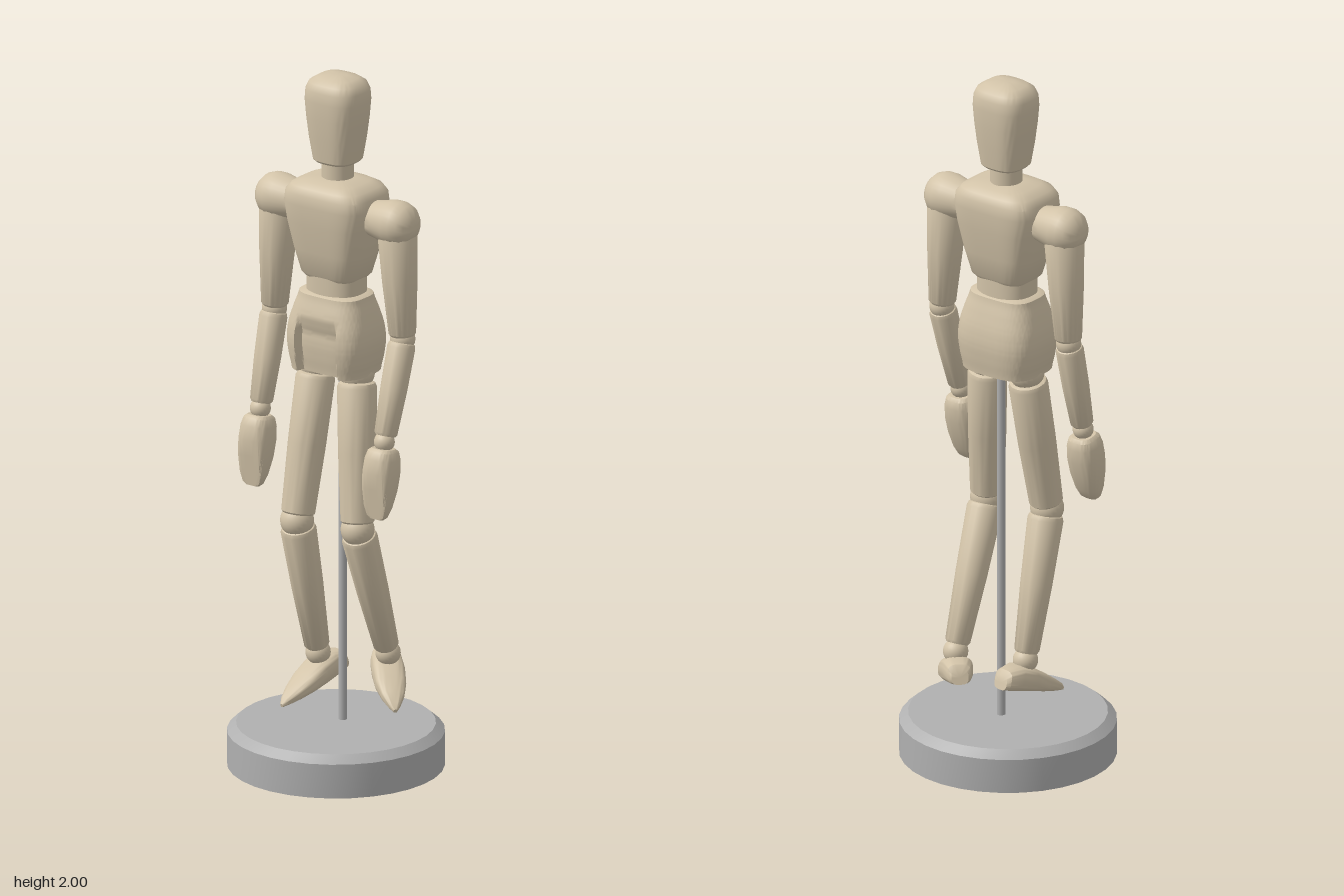
import * as THREE from 'three';
import { toCreasedNormals } from 'three/addons/utils/BufferGeometryUtils.js';

const wood = new THREE.MeshStandardMaterial({ color: 0xd2c3a8 });
wood.name = 'pale wood';
const metal = new THREE.MeshStandardMaterial({ color: 0xb0b0b0 });
metal.name = 'grey metal';

const V = (x, y, z) => new THREE.Vector3(x, y, z);
const clamp01 = (v) => THREE.MathUtils.clamp(v, 0, 1);

// Closed body through superellipse rings [y, halfWidth, halfDepth, zOffset]; rule may move points
function loft(rings, power = 2, sides = 32, rule = null) {
  const pos = [], idx = [];
  const add = (x, y, z) => {
    const p = V(x, y, z);
    if (rule) rule(p);
    pos.push(p.x, p.y, p.z);
  };
  const bend = (c) => Math.sign(c) * Math.pow(Math.abs(c), 2 / power);
  for (const [y, a, b, dz = 0] of rings) {
    for (let j = 0; j < sides; j++) {
      const t = (j / sides) * Math.PI * 2;
      add(a * bend(Math.cos(t)), y, dz + b * bend(Math.sin(t)));
    }
  }
  const first = rings[0], last = rings[rings.length - 1];
  const bottom = rings.length * sides, top = bottom + 1;
  add(0, first[0], first[3] || 0);
  add(0, last[0], last[3] || 0);
  for (let j = 0; j < sides; j++) {
    const k = (j + 1) % sides;
    for (let i = 0; i < rings.length - 1; i++) {
      const p = i * sides, q = p + sides;
      idx.push(p + j, q + j, p + k, p + k, q + j, q + k);
    }
    const e = (rings.length - 1) * sides;
    idx.push(bottom, j, k, top, e + k, e + j);
  }
  const g = new THREE.BufferGeometry();
  g.setAttribute('position', new THREE.Float32BufferAttribute(pos, 3));
  g.setIndex(idx);
  return toCreasedNormals(g, 0.6);
}

function part(parent, name, geometry, material = wood) {
  const m = new THREE.Mesh(geometry, material);
  m.name = name;
  parent.add(m);
  return m;
}

// Stand a geometry built along +y at the lower point, aimed at the upper one
function aim(mesh, low, high) {
  mesh.position.copy(low);
  mesh.quaternion.setFromUnitVectors(V(0, 1, 0), high.clone().sub(low).normalize());
}

// Tapered turned limb with softened ends
function limb(parent, name, low, high, rLow, rHigh) {
  const L = low.distanceTo(high);
  const mid = (rLow + rHigh) / 2 + 0.002;
  aim(part(parent, name, loft([
    [0, rLow * 0.86, rLow * 0.86], [0.007, rLow, rLow], [L / 2, mid, mid],
    [L - 0.015, rHigh, rHigh], [L - 0.004, rHigh * 0.92, rHigh * 0.92], [L, rHigh * 0.78, rHigh * 0.78],
  ])), low, high);
}

function ball(parent, name, at, r) {
  part(parent, name, new THREE.SphereGeometry(r, 24, 16)).position.copy(at);
}

function addArm(root, side, wristZ) {
  const arm = new THREE.Group();
  arm.name = side > 0 ? 'leftArm' : 'rightArm';
  root.add(arm);
  const shoulder = V(side * 0.2, 1.608, -0.008);
  const elbow = V(side * 0.22, 1.275, -0.012);
  const wrist = V(side * 0.222, 1.0, wristZ);
  const tip = V(side * 0.222, 0.785, wristZ + 0.035);
  // shoulder knob lying sideways, rounded at the outer end
  const knob = part(arm, 'shoulder', loft([
    [-0.085, 0.048, 0.048], [-0.05, 0.055, 0.055], [-0.01, 0.064, 0.064], [0.015, 0.064, 0.064],
    [0.038, 0.056, 0.056], [0.054, 0.041, 0.041], [0.063, 0.022, 0.022], [0.066, 0.005, 0.005],
  ]));
  knob.position.copy(shoulder);
  knob.rotation.z = -side * Math.PI / 2;
  limb(arm, 'upperArm', V(side * 0.219, 1.285, -0.012), V(side * 0.202, 1.6, -0.01), 0.038, 0.056);
  ball(arm, 'elbow', elbow, 0.035);
  limb(arm, 'forearm', wrist.clone().lerp(elbow, 0.06), elbow.clone().lerp(wrist, 0.03), 0.032, 0.039);
  ball(arm, 'wrist', wrist, 0.029);
  // hand with a flat sloping palm
  const palm = (p) => { p.z = Math.min(p.z, 0.008 + 0.3 * p.y); };
  aim(part(arm, 'hand', loft([
    [0, 0.02, 0.01], [0.008, 0.03, 0.018], [0.035, 0.039, 0.03], [0.085, 0.047, 0.041],
    [0.13, 0.048, 0.047], [0.17, 0.045, 0.046], [0.192, 0.039, 0.04], [0.2, 0.03, 0.031],
  ], 2.8, 40, palm)), tip, wrist);
}

function addLeg(root, side, knee, ankle, heading) {
  const leg = new THREE.Group();
  leg.name = side > 0 ? 'leftLeg' : 'rightLeg';
  root.add(leg);
  const hip = V(side * 0.068, 1.15, -0.005);
  ball(leg, 'hip', hip, 0.05);
  limb(leg, 'thigh', knee.clone().lerp(hip, 0.04), hip.clone().lerp(knee, 0.06), 0.047, 0.055);
  ball(leg, 'knee', knee, 0.047);
  limb(leg, 'shin', ankle.clone().lerp(knee, 0.05), knee.clone().lerp(ankle, 0.04), 0.035, 0.05);
  ball(leg, 'ankle', ankle, 0.035);
  // wedge foot, built heel to toe with a flat sole
  const sole = 0.085;
  const rings = [
    [-0.078, 0.024, 0.02], [-0.07, 0.033, 0.028], [-0.03, 0.043, 0.036], [0.02, 0.046, 0.034],
    [0.07, 0.043, 0.026], [0.115, 0.032, 0.018], [0.15, 0.017, 0.011], [0.168, 0.005, 0.005],
  ].map(([y, a, b]) => [y, a, b, sole - b]);
  const geo = loft(rings, 3, 32);
  geo.rotateX(Math.PI / 2);
  const foot = part(leg, 'foot', geo);
  foot.position.copy(ankle);
  foot.rotation.set(0.28, heading, 0, 'YXZ');
}

export function createModel() {
  const root = new THREE.Group();
  root.name = 'jointedFigure';

  // stand
  part(root, 'base', loft([[0, 0.3, 0.3], [0.098, 0.3, 0.3], [0.12, 0.275, 0.275]], 2, 32), metal);
  part(root, 'rod', new THREE.CylinderGeometry(0.012, 0.012, 1.08, 16), metal).position.set(0, 0.64, -0.031);

  // head and neck
  part(root, 'head', loft([
    [1.75, 0.056, 0.054], [1.757, 0.063, 0.061], [1.82, 0.074, 0.069], [1.88, 0.082, 0.074],
    [1.93, 0.087, 0.076], [1.96, 0.085, 0.074], [1.98, 0.076, 0.066], [1.993, 0.056, 0.049], [2, 0.024, 0.02],
  ], 2.9, 48)).position.z = -0.009;
  part(root, 'neck', new THREE.CylinderGeometry(0.045, 0.045, 0.08, 32)).position.set(0, 1.73, -0.008);

  // chest and waist
  part(root, 'chest', loft([
    [1.42, 0.08, 0.064], [1.43, 0.09, 0.071], [1.5, 0.109, 0.086], [1.58, 0.127, 0.099],
    [1.635, 0.135, 0.104], [1.665, 0.131, 0.103], [1.685, 0.115, 0.093], [1.698, 0.086, 0.072], [1.705, 0.045, 0.04],
  ], 4, 56)).position.z = -0.004;
  part(root, 'waist', loft([[1.35, 0.084, 0.068], [1.44, 0.084, 0.068]], 2.5, 40)).position.z = -0.003;

  // pelvis with a shallow sloped recess at the front
  const widths = new THREE.SplineCurve([
    [0.116, 0.096], [0.125, 0.102], [0.13, 0.105], [0.126, 0.1], [0.114, 0.088], [0.1, 0.075],
  ].map(([a, b]) => new THREE.Vector2(a, b)));
  const pelvisRings = [];
  for (let i = 0; i <= 30; i++) {
    const w = widths.getPoint(i / 30);
    pelvisRings.push([1.15 + 0.222 * (i / 30), w.x, w.y]);
  }
  pelvisRings.push([1.378, 0.086, 0.064]);
  const recess = (p) => {
    if (p.z > 0.03) p.z -= 0.024 * clamp01((1.315 - p.y) / 0.05) * clamp01((0.07 - Math.abs(p.x)) / 0.01);
  };
  part(root, 'pelvis', loft(pelvisRings, 3.2, 128, recess)).position.z = -0.002;

  addArm(root, 1, 0.075);
  addArm(root, -1, 0.05);
  addLeg(root, 1, V(0.11, 0.715, 0.048), V(0.095, 0.31, -0.112), Math.PI / 4);
  addLeg(root, -1, V(-0.07, 0.715, 0.085), V(-0.08, 0.3, -0.025), -0.16);
  return root;
}
